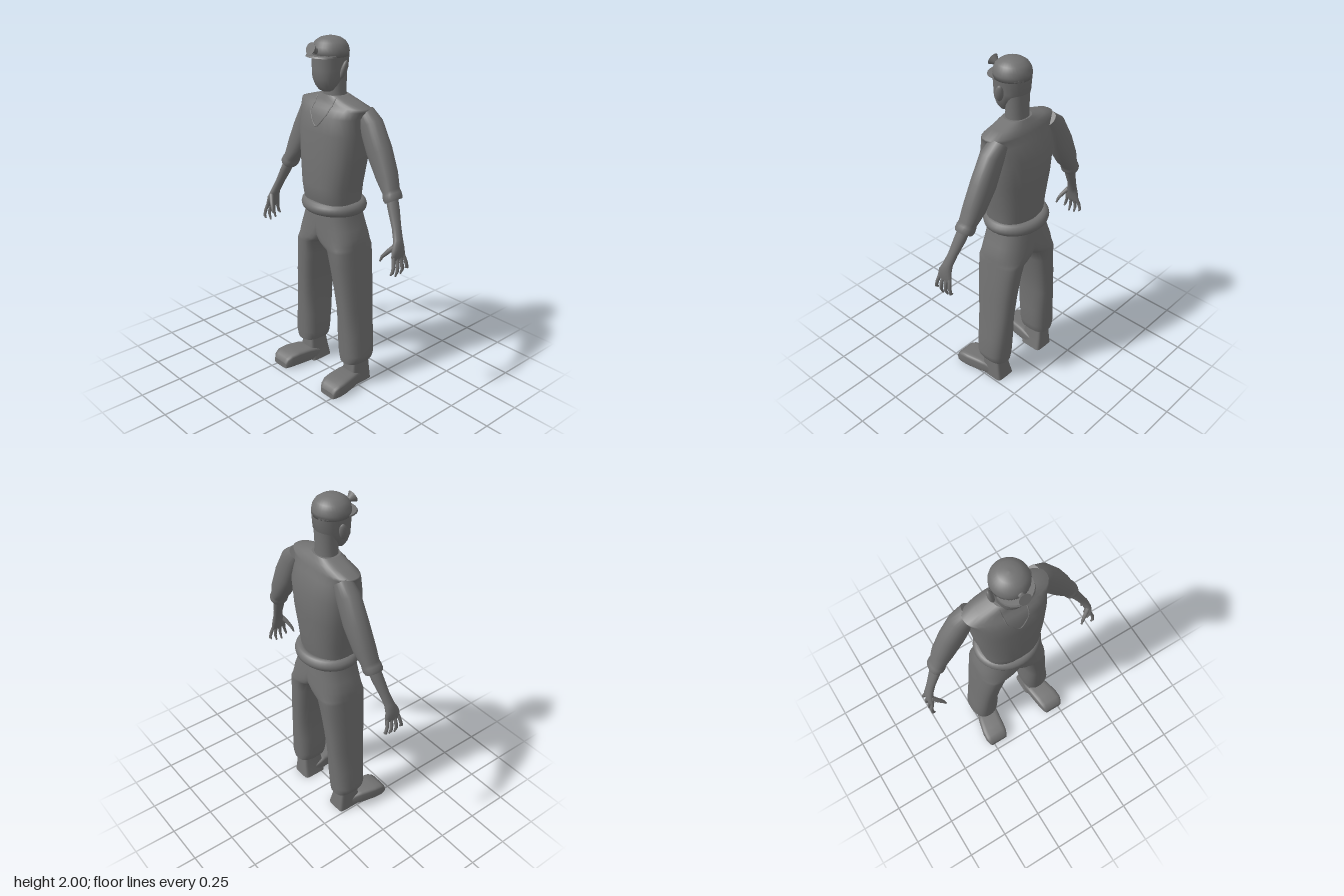
import * as THREE from 'three';

const V = (x, y, z) => new THREE.Vector3(x, y, z);
const mat = new THREE.MeshStandardMaterial({ color: 0x727272, side: THREE.DoubleSide });

// Skin over rings { c, u, v, w, p }: centre, axes to either side (v defaults to u), depth axis, power; flat caps
function loft(rings, sides = 20) {
  const pos = [], idx = [];
  const axis = rings[rings.length - 1].c.clone().sub(rings[0].c);
  const flip = rings[0].u.clone().cross(rings[0].w).dot(axis) < 0;
  const tri = (a, b, c) => idx.push(...(flip ? [a, c, b] : [a, b, c]));
  const addRing = ({ c, u, v = u, w, p = 2 }) => {
    const start = pos.length / 3;
    for (let i = 0; i < sides; i++) {
      const t = (i / sides) * Math.PI * 2, e = 2 / p;
      const a = Math.sign(Math.cos(t)) * Math.abs(Math.cos(t)) ** e;
      const b = Math.sign(Math.sin(t)) * Math.abs(Math.sin(t)) ** e;
      pos.push(...c.clone().addScaledVector(a > 0 ? u : v, a).addScaledVector(w, b).toArray());
    }
    return start;
  };
  const starts = rings.map(addRing);
  for (let r = 0; r < rings.length - 1; r++) {
    for (let i = 0; i < sides; i++) {
      const j = (i + 1) % sides, a = starts[r], b = starts[r + 1];
      tri(a + i, a + j, b + j);
      tri(a + i, b + j, b + i);
    }
  }
  [rings[0], rings[rings.length - 1]].forEach((ring, end) => {
    const s = addRing(ring), m = pos.length / 3;
    pos.push(...ring.c.toArray());
    for (let i = 0; i < sides; i++) {
      const j = (i + 1) % sides;
      if (end) tri(m, s + i, s + j); else tri(m, s + j, s + i);
    }
  });
  const g = new THREE.BufferGeometry();
  g.setAttribute('position', new THREE.Float32BufferAttribute(pos, 3));
  g.setIndex(idx);
  g.computeVertexNormals();
  return g;
}

// Level rings: [y, inner x, outer x, zFront, zBack, x of the fullest depth]; s mirrors them
const upright = (rows, p = 2.4, sides = 24, s = 1) => loft(rows.map(([y, x0, x1, zf, zb, cx = (x0 + x1) / 2]) => ({
  c: V(s * cx, y, (zf + zb) / 2), u: V(s * (x1 - cx), 0, 0), v: V(s * (cx - x0), 0, 0),
  w: V(0, 0, (zf - zb) / 2), p,
})), sides);

// Limb whose rings follow a path: [x, y, z, radius across, radius in z]
const limb = (rows, s, sides = 16, p = 2) => loft(rows.map(([x, y, z, ra, rb], i) => {
  const a = rows[Math.max(i - 1, 0)], b = rows[Math.min(i + 1, rows.length - 1)];
  const d = V(s * (b[0] - a[0]), b[1] - a[1], 0).normalize();
  return { c: V(s * x, y, z), u: V(-d.y * ra, d.x * ra, 0), w: V(0, 0, rb), p };
}), sides);

// Torso rows: [y, half width, zFront, zBack]
const TORSO = [
  [1.08, 0.16, 0.1, -0.15], [1.13, 0.166, 0.114, -0.158], [1.2, 0.172, 0.124, -0.165],
  [1.35, 0.2, 0.115, -0.177], [1.5, 0.216, 0.107, -0.182], [1.59, 0.213, 0.09, -0.15],
  [1.63, 0.232, 0.064, -0.135], [1.646, 0.24, 0.045, -0.13], [1.668, 0.165, 0.035, -0.118],
  [1.693, 0.078, 0.026, -0.102],
];
function chestZ(x, y) {
  const i = Math.min(Math.max(TORSO.findIndex(r => r[0] >= y), 1), TORSO.length - 1);
  const a = TORSO[i - 1], b = TORSO[i], t = (y - a[0]) / (b[0] - a[0]);
  const [, rx, zf, zb] = a.map((v, k) => v + (b[k] - v) * t);
  const f = Math.max(0, 1 - Math.min(1, Math.abs(x) / rx) ** 2.5) ** (1 / 2.5);
  return (zf + zb) / 2 + ((zf - zb) / 2) * f;
}

export function createModel() {
  const model = new THREE.Group();
  const add = (name, geo, parent = model) => {
    const m = new THREE.Mesh(geo, mat);
    m.name = name;
    parent.add(m);
    return m;
  };

  // Shirt, with a fine V-shaped neckline edge lying on the chest
  add('torso', upright(TORSO.map(([y, r, f, b]) => [y, -r, r, f, b]), 2.5, 28));
  const edge = [[0.071, 1.685], [0.07, 1.668], [0.068, 1.646], [0.066, 1.63], [0.062, 1.605], [0.04, 1.572], [0.012, 1.54]];
  const vee = [...edge, [0, 1.535], ...edge.map(([x, y]) => [-x, y]).reverse()];
  const veePath = new THREE.CatmullRomCurve3(vee.map(([x, y]) => V(x, y, chestZ(x, y))));
  add('neckline', new THREE.TubeGeometry(veePath, 60, 0.0035, 6));

  // Rolled belt
  const belt = add('belt', new THREE.TorusGeometry(0.16, 0.036, 12, 40).rotateX(Math.PI / 2));
  belt.scale.z = 0.88;
  belt.position.set(0, 1.075, -0.033);

  // Head and neck
  add('neck', upright([[1.66, -0.07, 0.07, 0.022, -0.098], [1.72, -0.064, 0.064, 0.02, -0.093],
    [1.85, -0.068, 0.068, 0.02, -0.098]], 2.1));
  add('head', upright([[1.714, -0.026, 0.026, 0.045, 0.008], [1.722, -0.045, 0.045, 0.058, -0.002],
    [1.747, -0.064, 0.064, 0.076, -0.025], [1.785, -0.078, 0.078, 0.093, -0.06],
    [1.83, -0.085, 0.085, 0.097, -0.1], [1.91, -0.095, 0.095, 0.097, -0.104]], 2.2));
  // Cap, brim and lamp
  const capProfile = [[0, 1.9], [0.1, 1.9], [0.101, 1.925], [0.096, 1.95], [0.081, 1.973],
    [0.056, 1.99], [0.028, 1.998], [0, 2]].map(([x, y]) => new THREE.Vector2(x, y));
  add('cap', new THREE.LatheGeometry(capProfile, 32)).position.z = -0.004;
  add('brim', upright([[1.9, -0.095, 0.095, 0.135, -0.04], [1.908, -0.094, 0.094, 0.128, -0.04]], 2));
  const lamp = new THREE.Group();
  lamp.name = 'lamp';
  lamp.position.set(0, 1.928, 0.085);
  lamp.rotation.x = -0.4;
  model.add(lamp);
  add('lampBase', new THREE.CylinderGeometry(0.014, 0.018, 0.03, 16).rotateX(Math.PI / 2), lamp).position.z = 0.01;
  add('lampCone', new THREE.CylinderGeometry(0.033, 0.013, 0.03, 20).rotateX(Math.PI / 2), lamp).position.z = 0.036;

  for (const s of [1, -1]) {
    const side = s > 0 ? 'left' : 'right';

    // Ear
    const ear = add(side + 'Ear', new THREE.SphereGeometry(1, 14, 10));
    ear.scale.set(0.015, 0.05, 0.022);
    ear.position.set(s * 0.101, 1.838, -0.008);
    ear.rotation.set(-0.15, s * 0.45, s * -0.2);

    // Trouser half: the halves overlap at the middle and part at the crotch
    add(side + 'TrouserLeg', upright([[1.07, -0.06, 0.157, 0.098, -0.163, 0], [1.02, -0.06, 0.166, 0.102, -0.17, 0],
      [0.96, -0.06, 0.188, 0.105, -0.176, 0.01], [0.91, -0.05, 0.204, 0.106, -0.18, 0.035],
      [0.875, -0.03, 0.208, 0.106, -0.179, 0.07], [0.855, -0.005, 0.21, 0.105, -0.178, 0.1],
      [0.838, 0.038, 0.212, 0.104, -0.177], [0.76, 0.058, 0.219, 0.098, -0.17],
      [0.62, 0.083, 0.235, 0.086, -0.16], [0.48, 0.104, 0.243, 0.075, -0.152],
      [0.33, 0.1, 0.262, 0.068, -0.143], [0.2, 0.104, 0.277, 0.062, -0.136],
      [0.165, 0.112, 0.268, 0.06, -0.134], [0.145, 0.12, 0.257, 0.058, -0.132]], 2.6, 28, s));

    // Boot: squared heel and shaft, and forward foot
    add(side + 'BootShaft', upright([[0, 0.114, 0.242, 0.028, -0.118], [0.08, 0.134, 0.238, 0.026, -0.109],
      [0.18, 0.15, 0.234, 0.014, -0.098]], 7, 24, s));
    const foot = [[-0.06, 0.178, 0.05, 0.05], [0, 0.185, 0.065, 0.078], [0.04, 0.194, 0.07, 0.087],
      [0.12, 0.208, 0.075, 0.089], [0.17, 0.213, 0.073, 0.083], [0.198, 0.214, 0.065, 0.065],
      [0.211, 0.214, 0.055, 0.035]];
    add(side + 'BootFoot', loft(foot.map(([z, x, r, h]) => ({
      c: V(s * x, h / 2, z), u: V(r, 0, 0), w: V(0, h / 2, 0), p: 5,
    })), 24));

    // Sleeve with rolled cuff
    add(side + 'Sleeve', limb([[0.185, 1.62, -0.08, 0.045, 0.05], [0.235, 1.56, -0.08, 0.067, 0.059],
      [0.3, 1.43, -0.08, 0.074, 0.06], [0.365, 1.31, -0.075, 0.061, 0.057],
      [0.405, 1.24, -0.067, 0.041, 0.05], [0.413, 1.225, -0.065, 0.046, 0.053],
      [0.424, 1.205, -0.063, 0.046, 0.053], [0.431, 1.192, -0.062, 0.041, 0.048]], s, 20, 2.3));
    // Forearm and palm
    add(side + 'Forearm', limb([[0.415, 1.22, -0.06, 0.03, 0.036], [0.45, 1.145, -0.047, 0.028, 0.034],
      [0.485, 1.07, -0.032, 0.023, 0.028], [0.512, 1.01, -0.018, 0.022, 0.03],
      [0.524, 0.97, -0.008, 0.021, 0.042], [0.528, 0.93, -0.006, 0.015, 0.05],
      [0.53, 0.91, -0.006, 0.01, 0.048]], s));

    // Fingers fan out and curl inwards; the thumb reaches forward
    for (const [k, tip] of [0.835, 0.815, 0.822, 0.845].entries()) {
      const z = 0.03 - k * 0.024, spread = (z + 0.006) * 1.55 - 0.006;
      add(side + 'Finger' + (k + 1), limb([[0.528, 0.93, z, 0.01, 0.011], [0.542, 0.885, (z + spread) / 2, 0.01, 0.01],
        [0.543, 0.85, spread, 0.009, 0.009], [0.53, tip, spread, 0.005, 0.005]], s, 8));
    }
    add(side + 'Thumb', limb([[0.52, 0.985, 0.012, 0.014, 0.016], [0.49, 0.95, 0.034, 0.013, 0.013],
      [0.467, 0.922, 0.047, 0.01, 0.01], [0.456, 0.893, 0.054, 0.005, 0.005]], s, 8));
  }
  return model;
}
